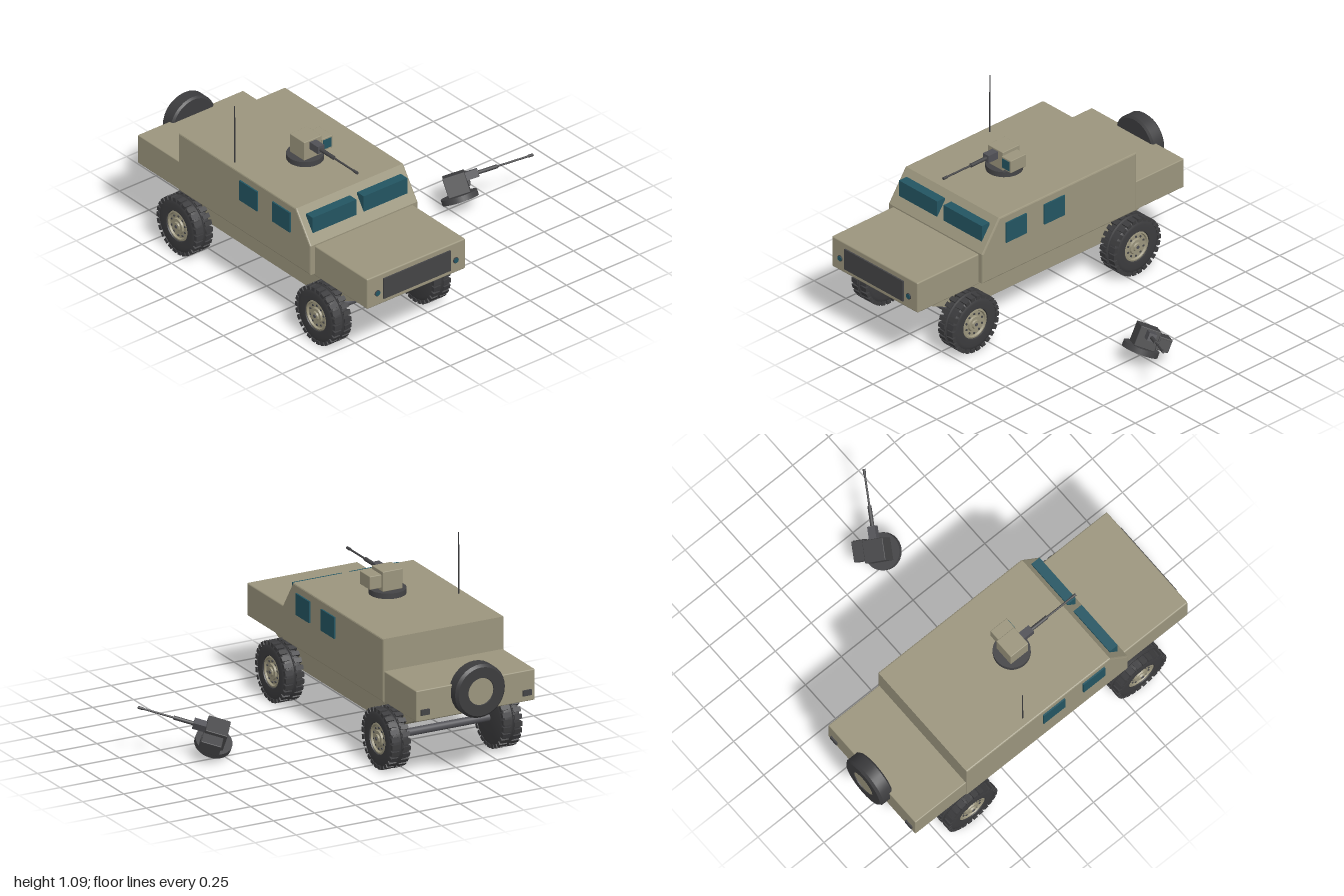
import * as THREE from 'three';
import { toCreasedNormals } from 'three/addons/utils/BufferGeometryUtils.js';
import { RoundedBoxGeometry } from 'three/addons/geometries/RoundedBoxGeometry.js';

const paint = (name, color) => {
  const m = new THREE.MeshStandardMaterial({ color });
  m.name = name;
  return m;
};

export function createModel() {
  const sand = paint('sand', 0x9b957d);
  const dark = paint('darkGrey', 0x444446);
  const rubber = paint('rubber', 0x3c3c3e);
  const steel = paint('steel', 0x515156);
  const glass = paint('glass', 0x235562);

  const group = (name, parent) => {
    const g = new THREE.Group();
    g.name = name;
    if (parent) parent.add(g);
    return g;
  };
  const add = (parent, name, geo, mat, x = 0, y = 0, z = 0) => {
    const m = new THREE.Mesh(geo, mat);
    m.name = name;
    m.position.set(x, y, z);
    parent.add(m);
    return m;
  };
  // box given by its limits on each axis, rounded when r > 0
  const box = (parent, name, mat, [x0, x1], [y0, y1], [z0, z1], r = 0) => {
    const s = [x1 - x0, y1 - y0, z1 - z0];
    const geo = r ? new RoundedBoxGeometry(...s, 2, r) : new THREE.BoxGeometry(...s);
    return add(parent, name, geo, mat, (x0 + x1) / 2, (y0 + y1) / 2, (z0 + z1) / 2);
  };
  const cylX = (r, len, seg = 24) => new THREE.CylinderGeometry(r, r, len, seg).rotateZ(-Math.PI / 2);
  const cylZ = (r, len, seg = 16) => new THREE.CylinderGeometry(r, r, len, seg).rotateX(Math.PI / 2);
  const lathe = (pts, seg) => toCreasedNormals(
    new THREE.LatheGeometry(pts.map(p => new THREE.Vector2(...p)), seg).rotateZ(-Math.PI / 2), 0.5);
  // side profile of [z, y] points extruded across the width
  const profile = (pts, width, bevel) => {
    const d = width - 2 * bevel;
    return new THREE.ExtrudeGeometry(new THREE.Shape(pts.map(p => new THREE.Vector2(...p))), {
      depth: d, bevelEnabled: bevel > 0, bevelSize: bevel, bevelThickness: bevel, bevelOffset: -bevel, bevelSegments: 2,
    }).translate(0, 0, -d / 2).rotateY(-Math.PI / 2);
  };

  const model = group('model');
  const vehicle = group('vehicle', model);
  vehicle.position.x = -0.52;

  // body
  add(vehicle, 'cabin', profile([[0.543, 0.38], [0.543, 0.56], [0.42, 0.74], [-0.58, 0.74], [-0.58, 0.38]].reverse(), 0.738, 0.008), sand);
  box(vehicle, 'hood', sand, [-0.337, 0.337], [0.365, 0.552], [0.53, 0.987], 0.008);
  box(vehicle, 'rearDeck', sand, [-0.362, 0.362], [0.38, 0.556], [-0.933, -0.57], 0.006);
  add(vehicle, 'chassis', profile([[0.93, 0.355], [-0.837, 0.355], [-0.48, 0.19], [0.56, 0.19]], 0.51, 0), sand);

  // grille, lamps and windows
  box(vehicle, 'grille', dark, [-0.23, 0.23], [0.395, 0.52], [0.98, 0.996]);
  for (const s of [-1, 1]) {
    add(vehicle, 'headlamp', cylZ(0.018, 0.012), dark, s * 0.269, 0.443, 0.986);
    add(vehicle, 'headlampLens', cylZ(0.015, 0.012), glass, s * 0.269, 0.443, 0.989);
    add(vehicle, 'tailLamp', new THREE.BoxGeometry(0.052, 0.032, 0.016), dark, s * 0.311, 0.43, -0.934);
    add(vehicle, 'windshield', new THREE.BoxGeometry(0.3, 0.112, 0.056), glass, s * 0.175, 0.651, 0.48);
    for (const z of [0.302, 0.024])
      add(vehicle, 'sideWindow', new THREE.BoxGeometry(0.016, 0.122, 0.15), glass, s * 0.37, 0.634, z);
  }

  // wheels, built with the hub facing +x
  const tyreGeo = lathe([[0, -0.057], [0.13, -0.057], [0.15, -0.052], [0.161, -0.043], [0.164, -0.009],
    [0.156, -0.005], [0.156, 0.005], [0.164, 0.009], [0.161, 0.043], [0.15, 0.052], [0.13, 0.057],
    [0.09, 0.055], [0.086, 0.035]], 48);
  const hubGeo = lathe([[0.088, 0.036], [0.086, 0.05], [0.077, 0.052], [0.072, 0.042], [0.046, 0.042],
    [0.042, 0.052], [0.026, 0.052], [0.022, 0.06], [0, 0.06]], 32);
  const lugGeo = new THREE.BoxGeometry(0.046, 0.022, 0.026);
  const boltGeo = cylX(0.006, 0.01, 8);
  const lugs = 26;
  for (const s of [-1, 1]) for (const z of [0.618, -0.56]) {
    const wheel = group(z > 0 ? 'frontWheel' : 'rearWheel', vehicle);
    wheel.position.set(s * 0.34, 0.173, z);
    if (s < 0) wheel.rotation.y = Math.PI;
    add(wheel, 'tyre', tyreGeo, rubber);
    add(wheel, 'hub', hubGeo, sand);
    add(wheel, 'hubCap', cylX(0.01, 0.006, 12), steel, 0.06);
    // two staggered rows of tread blocks
    for (const row of [-1, 1]) for (let i = 0; i < lugs; i++) {
      const a = (i + (row > 0 ? 0.5 : 0)) / lugs * Math.PI * 2;
      const lug = add(wheel, 'treadBlock', lugGeo, rubber, row * 0.034, Math.cos(a) * 0.159, Math.sin(a) * 0.159);
      lug.rotation.x = a;
    }
    for (let i = 0; i < 10; i++) {
      const a = i / 10 * Math.PI * 2;
      add(wheel, 'wheelBolt', boltGeo, dark, 0.042, Math.cos(a) * 0.059, Math.sin(a) * 0.059);
    }
  }
  for (const z of [0.618, -0.56]) add(vehicle, 'axle', cylX(0.022, 0.6), steel, 0, 0.176, z);

  // spare wheel on the back
  const spare = group('spareWheel', vehicle);
  spare.position.set(0, 0.51, -0.95);
  spare.rotation.y = Math.PI / 2;
  add(spare, 'spareTyre', lathe([[0, -0.045], [0.14, -0.045], [0.152, -0.035], [0.152, 0.03], [0.138, 0.045],
    [0.078, 0.045], [0.074, 0.036]], 32), rubber);
  add(spare, 'spareHub', cylX(0.076, 0.02, 32), sand, 0.03);

  // whip antenna
  add(vehicle, 'antenna', new THREE.CylinderGeometry(0.003, 0.004, 0.35, 8), rubber, -0.325, 0.915, -0.155);

  // remote gun mount, origin at the bottom of its ring
  const gunMount = (name, shell, lens) => {
    const g = group(name, model);
    add(g, 'ring', new THREE.CylinderGeometry(0.102, 0.102, 0.032, 32), dark, 0, 0.016, 0);
    box(g, 'gunHousing', shell, [-0.06, 0.06], [0.032, 0.146], [-0.057, 0.066], 0.004);
    box(g, 'sightHousing', shell, [0.055, 0.13], [0.05, 0.126], [-0.04, 0.073], 0.004);
    box(g, 'sightLens', lens, [0.064, 0.121], [0.06, 0.116], [0.07, 0.076]);
    box(g, 'receiver', steel, [-0.022, 0.022], [0.092, 0.136], [0.06, 0.135]);
    add(g, 'barrelJacket', cylZ(0.011, 0.11), dark, 0, 0.113, 0.19);
    add(g, 'barrel', cylZ(0.0055, 0.2), dark, 0, 0.113, 0.34);
    add(g, 'muzzle', cylZ(0.008, 0.03), dark, 0, 0.113, 0.43);
    return g;
  };
  gunMount('roofGun', sand, glass).position.set(-0.52, 0.739, 0.042);

  // second mount lying tilted beside the vehicle
  const loose = gunMount('looseGun', dark, dark);
  const up = new THREE.Vector3(0, 0.87, -0.49).normalize();
  const side = new THREE.Vector3().crossVectors(up, new THREE.Vector3(0.82, 0.285, 0.495)).normalize();
  const forward = new THREE.Vector3().crossVectors(side, up);
  loose.quaternion.setFromRotationMatrix(new THREE.Matrix4().makeBasis(side, up, forward));
  loose.position.set(0.545, 0.064, 0.045);

  return model;
}
